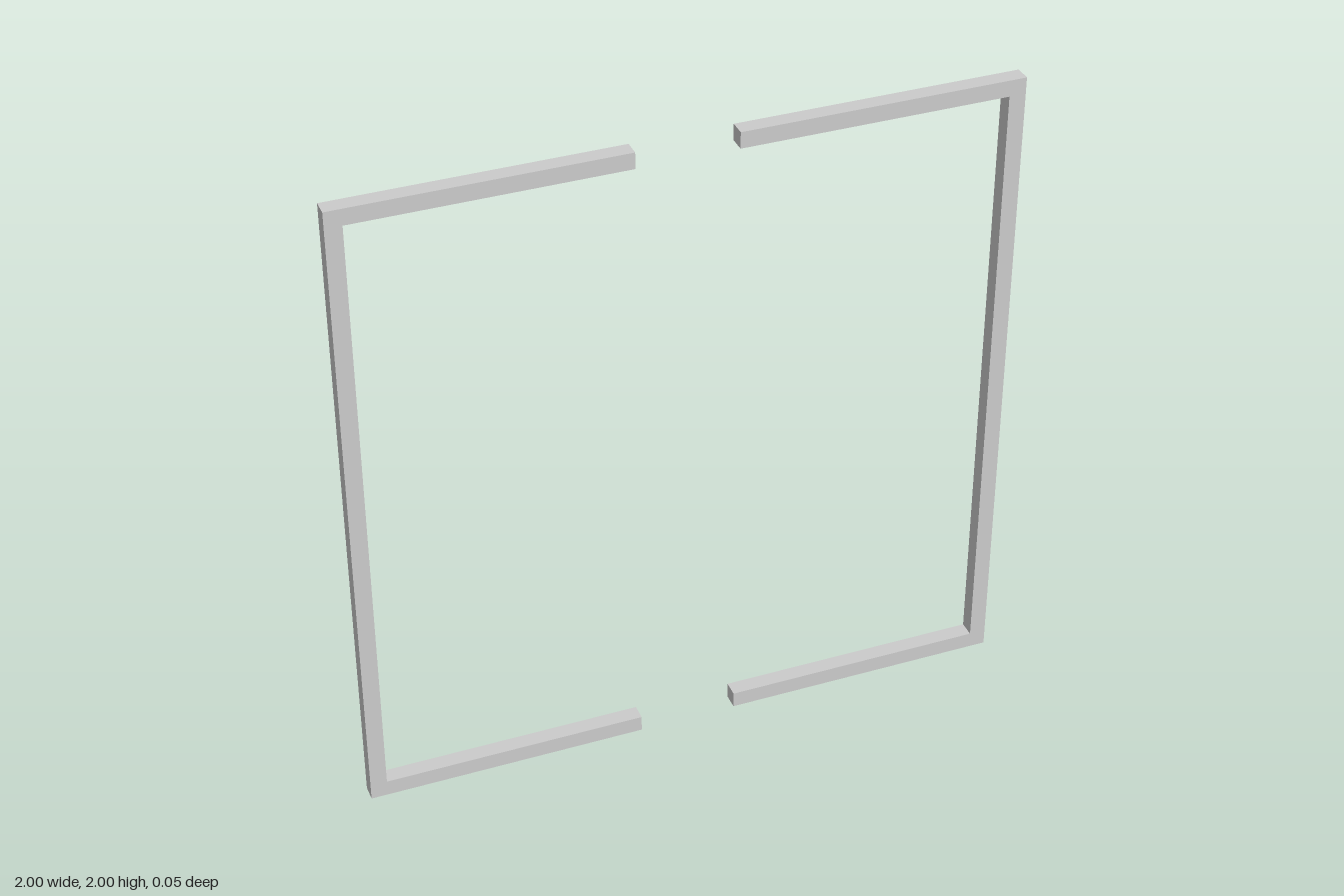
import * as THREE from 'three';

const HALF = 1, HEIGHT = 2, BAR = 0.05, GAP = 0.15; // GAP: arm tip distance from the centre

// Square-section C bracket opening towards the centre
function bracketGeometry() {
  const inner = HALF - BAR;
  const outline = new THREE.Shape([
    [GAP, 0], [HALF, 0], [HALF, HEIGHT], [GAP, HEIGHT],
    [GAP, HEIGHT - BAR], [inner, HEIGHT - BAR], [inner, BAR], [GAP, BAR],
  ].map(([x, y]) => new THREE.Vector2(x, y)));
  const geometry = new THREE.ExtrudeGeometry(outline, { depth: BAR, bevelEnabled: false });
  return geometry.translate(0, 0, -BAR / 2);
}

export function createModel() {
  const model = new THREE.Group();
  model.name = 'bracketFrame';
  const material = new THREE.MeshStandardMaterial({ color: 0xcccccc, flatShading: true });
  const geometry = bracketGeometry();

  // The right bracket is the left one turned half way round
  for (const [name, turn] of [['leftBracket', 0], ['rightBracket', Math.PI]]) {
    const bracket = new THREE.Mesh(geometry, material);
    bracket.name = name;
    bracket.rotation.y = turn;
    model.add(bracket);
  }
  return model;
}
